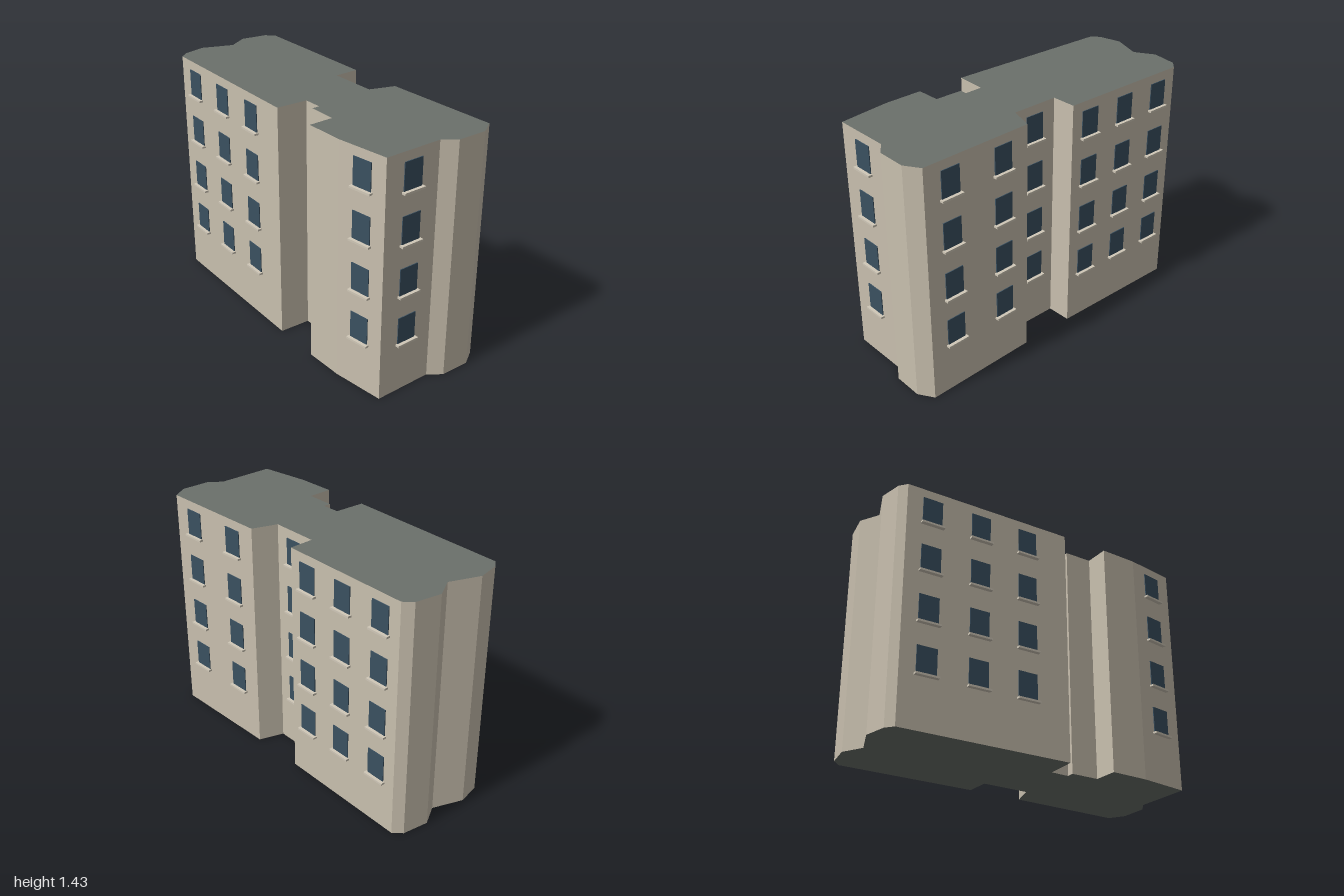
import * as THREE from 'three';

const HEIGHT = 1.43;

// Footprint corners as [x, z], from the back right corner round to the right side
const FOOTPRINT = [
  [-0.49, -0.86], [-0.45, -0.905], [-0.32, -0.955], [-0.13, -0.915],
  [-0.025, -1], [0.135, -1], [0.19, -0.96], [0.31, -0.14],
  [0.165, -0.115], [0.21, 0.17], [0.365, 0.195], [0.495, 0.885],
  [0.415, 0.955], [0.24, 0.98], [0.155, 0.935], [-0.19, 0.99],
  [-0.28, 0.69], [-0.32, 0.46], [-0.175, 0.435], [-0.2, 0.265],
  [-0.155, 0.26], [-0.175, 0.15], [-0.36, 0.17],
];

// Window columns: wall (index of its first corner) and fractions along it
const COLUMNS = [
  { wall: 6, at: [0.165, 0.505, 0.84] },
  { wall: 8, at: [0.51] },
  { wall: 10, at: [0.25, 0.76] },
  { wall: 14, at: [0.495] },
  { wall: 15, at: [0.49] },
  { wall: 22, at: [0.258, 0.554, 0.85] },
];
const FLOORS = [0.39, 0.69, 0.995, 1.295];

const material = (color) => new THREE.MeshStandardMaterial({ color });

export function createModel() {
  const model = new THREE.Group();
  model.name = 'apartmentBlock';
  const wallMat = material(0xc8bfae);
  const roofMat = material(0x6b706b);
  const glassMat = material(0x3a5060);
  const sillMat = material(0xd0c8b8);

  // Building body: footprint extruded upwards, caps in the roof colour
  const shape = new THREE.Shape(FOOTPRINT.map(([x, z]) => new THREE.Vector2(x, -z)));
  const bodyGeo = new THREE.ExtrudeGeometry(shape, { depth: HEIGHT, bevelEnabled: false });
  bodyGeo.rotateX(-Math.PI / 2);
  const body = new THREE.Mesh(bodyGeo, [roofMat, wallMat]);
  body.name = 'wallsAndRoof';
  model.add(body);

  // Windows with projecting sills, facing out of their wall
  const glassGeo = new THREE.BoxGeometry(0.12, 0.16, 0.01);
  const sillGeo = new THREE.BoxGeometry(0.14, 0.012, 0.024);
  sillGeo.translate(0, -0.086, 0.012);

  for (const { wall, at } of COLUMNS) {
    const [ax, az] = FOOTPRINT[wall];
    const [bx, bz] = FOOTPRINT[(wall + 1) % FOOTPRINT.length];
    for (const t of at) {
      for (const y of FLOORS) {
        const unit = new THREE.Group();
        unit.name = 'windowUnit';
        const glass = new THREE.Mesh(glassGeo, glassMat);
        glass.name = 'windowPane';
        const sill = new THREE.Mesh(sillGeo, sillMat);
        sill.name = 'windowSill';
        unit.add(glass, sill);
        unit.position.set(ax + (bx - ax) * t, y, az + (bz - az) * t);
        unit.rotation.y = Math.atan2(bz - az, ax - bx);
        model.add(unit);
      }
    }
  }
  return model;
}
